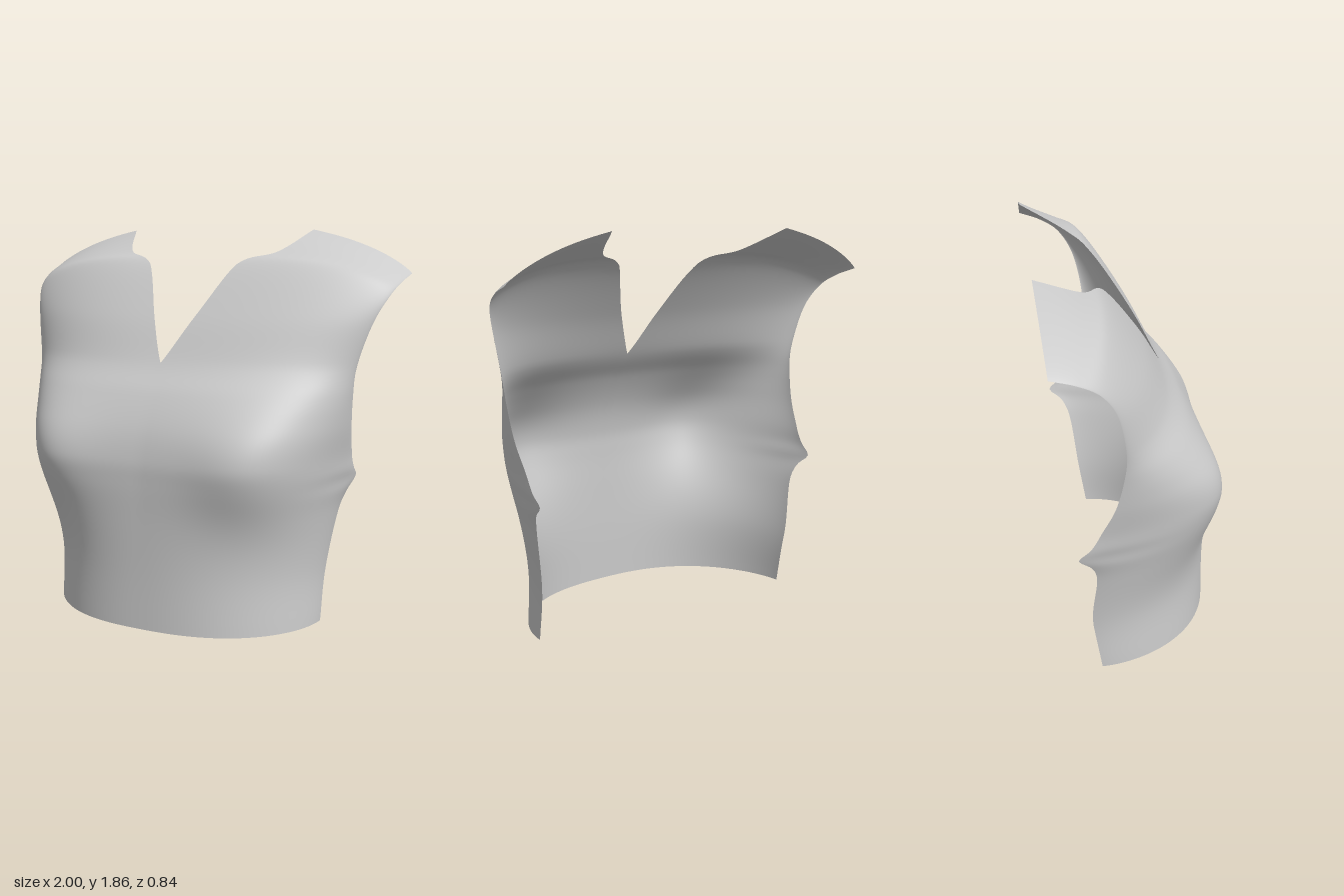
import * as THREE from 'three';
import { mergeGeometries, mergeVertices } from 'three/addons/utils/BufferGeometryUtils.js';

const { smoothstep, lerp } = THREE.MathUtils;

// Edge lines of the left half, from hem to shoulder seam (x, y, z)
const INNER = [ // centre front, then neckline
  [0, 0, .40], [0, .25, .395], [0, .5, .395], [0, .69, .395], [0, .81, .388], [0, .95, .352], [0, 1.1, .277],
  [0, 1.235, .18], [.11, 1.45, .06], [.235, 1.69, -.11], [.40, 1.75, -.22], [.5, 1.855, -.43],
];
const OUTER = [ // side seam, then armhole
  [.713, 0, -.11], [.72, .25, -.15], [.765, .54, -.19], [.81, .69, -.25], [.818, .81, -.205], [.835, .95, -.14],
  [.85, 1.1, -.105], [.867, 1.235, -.097], [.915, 1.43, -.135], [.96, 1.55, -.205], [.985, 1.612, -.30], [1, 1.65, -.41],
];
const ROWS = INNER.length - 1, STEP = 8, COLS = 36;

const bell = (value, centre, width) => Math.exp(-(((value - centre) / width) ** 2));

// Samples an edge line as smooth pieces that meet at the given rows
function sampleEdge(points, corners = []) {
  const stops = [0, ...corners, ROWS], out = [];
  for (let i = 0; i < stops.length - 1; i++) {
    const [a, b] = [stops[i], stops[i + 1]], n = (b - a) * STEP;
    const piece = points.slice(a, b + 1).map(p => new THREE.Vector3(...p));
    const curve = new THREE.CatmullRomCurve3(piece, false, 'catmullrom', 0.5);
    for (let k = i ? 1 : 0; k <= n; k++) out.push(curve.getPoint(k / n));
  }
  return out;
}

// Point on the cloth: a rounded section between the two edges, plus the bust
function clothPoint(inner, outer, row, s) {
  const round = (1 - s ** 2.5) ** lerp(.565, .8, smoothstep(row, 5.5, 8)); // fuller at the waist
  const drop = lerp(1 - round, s, .52 * smoothstep(row, 9, 11)); // straighter at the shoulder seam
  const p = new THREE.Vector3(lerp(inner.x, outer.x, s), lerp(inner.y, outer.y, drop), lerp(inner.z, outer.z, drop));
  p.z += .125 * bell(p.x, .6, .3) * bell(p.y, .79, .26) * (1 - s ** 12);
  p.z -= .045 * bell(p.y, .69, .035) * s ** 24; // small flare at the underarm point
  return p;
}

// One half of the front panel; side is 1 for left, -1 for right
function halfPanel(side) {
  // the neckline turns sharply in x only, so the cloth itself stays smooth
  const neck = sampleEdge(INNER, [7, 9]);
  const inner = sampleEdge(INNER).map((p, i) => p.setX(neck[i].x));
  const outer = sampleEdge(OUTER);
  const positions = [], index = [], w = COLS + 1;
  for (let r = 0; r <= ROWS * STEP; r++) {
    // the right side seam wraps a little further back
    if (side < 0) outer[r].z -= .075 * (1 - smoothstep(outer[r].y, .25, .7));
    for (let c = 0; c <= COLS; c++) {
      const p = clothPoint(inner[r], outer[r], r / STEP, Math.sin(c / COLS * Math.PI / 2));
      const shift = -.018 * (1 - smoothstep(p.y, 1.2, 1.65)); // body sits slightly to the right
      positions.push(side * p.x + shift, p.y, p.z);
      if (r && c) {
        const d = r * w + c, b = d - w;
        if (side > 0) index.push(b - 1, b, d, b - 1, d, d - 1);
        else index.push(b - 1, d, b, b - 1, d - 1, d);
      }
    }
  }
  const geometry = new THREE.BufferGeometry();
  geometry.setAttribute('position', new THREE.Float32BufferAttribute(positions, 3));
  geometry.setIndex(index);
  return geometry;
}

export function createModel() {
  const group = new THREE.Group();
  group.name = 'bodice';
  // Join the halves along the centre front so the shading runs smoothly across
  const geometry = mergeVertices(mergeGeometries([halfPanel(1), halfPanel(-1)]), 1e-4);
  geometry.computeVertexNormals();
  const panel = new THREE.Mesh(geometry, new THREE.MeshStandardMaterial({ color: 0xcccccc, side: THREE.DoubleSide }));
  panel.name = 'frontPanel';
  group.add(panel);
  return group;
}
